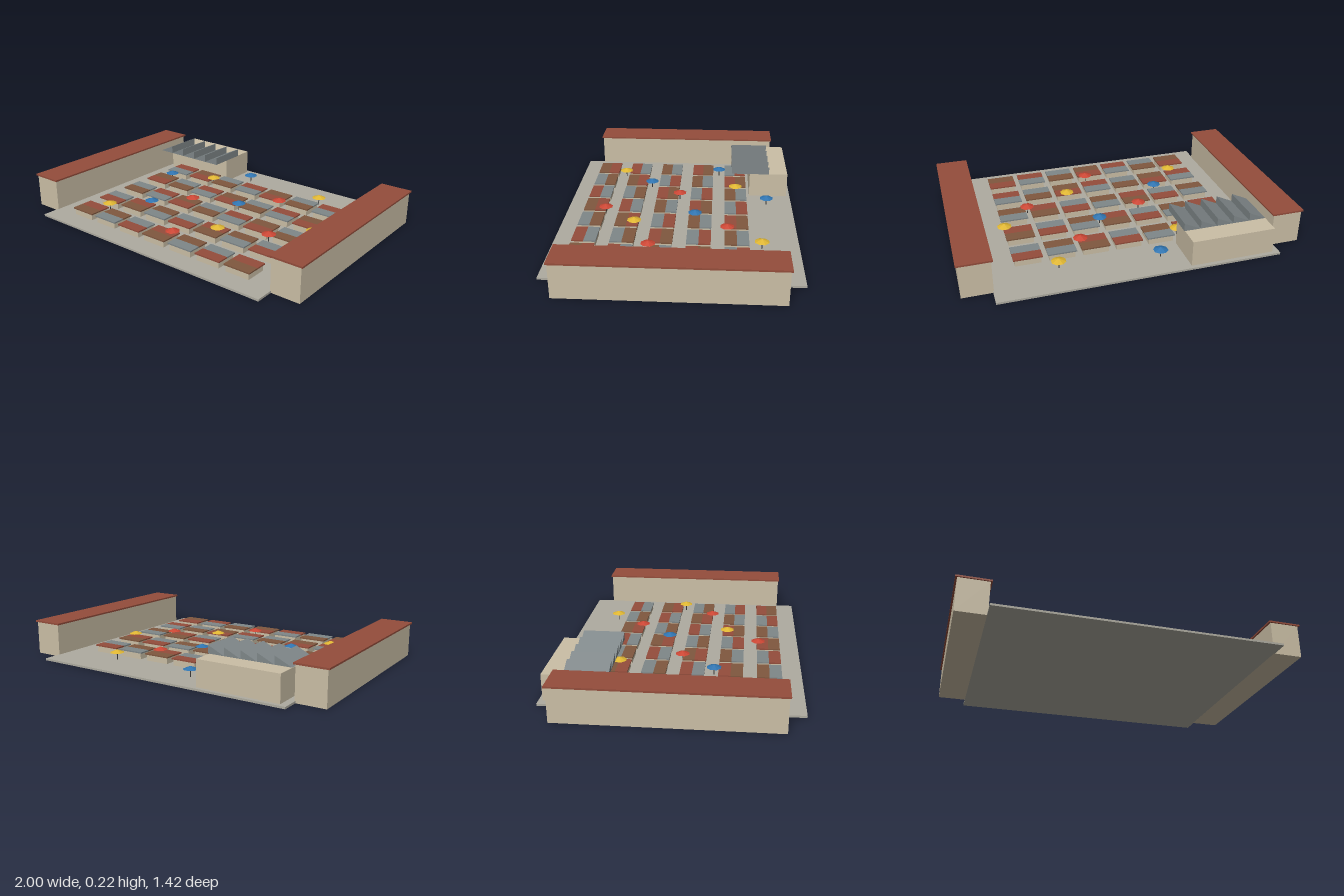
import * as THREE from 'three';

const mat = (color) => new THREE.MeshStandardMaterial({ color, flatShading: true });
const wall = mat(0xcbbfa6), roofRed = mat(0x944d3b), paving = mat(0xaeaba0);
const slate = mat(0x7f8789), brown = mat(0x80583f), dark = mat(0x3a3a3a);
const blue = mat(0x2f74b0), yellow = mat(0xdfb632), red = mat(0xcb4634);

// Box given its centre in x and z and its bottom and top heights
function block(name, material, x, z, w, d, y0, y1) {
  const m = new THREE.Mesh(new THREE.BoxGeometry(w, y1 - y0, d), material);
  m.position.set(x, (y0 + y1) / 2, z);
  m.name = name;
  return m;
}

// Long hall with a thin overhanging roof
function hall(side) {
  const g = new THREE.Group();
  g.name = side > 0 ? 'leftHall' : 'rightHall';
  g.add(block('hallWalls', wall, side * 0.9025, 0, 0.175, 1.21, 0, 0.2));
  g.add(block('hallRoof', roofRed, side * 0.9025, 0, 0.195, 1.225, 0.2, 0.21));
  return g;
}

// Workshop with a sawtooth roof reaching out over its front
function workshop() {
  const g = new THREE.Group();
  g.name = 'workshop';
  g.add(block('workshopWalls', wall, -0.53, -0.567, 0.5, 0.245, 0.012, 0.167));
  const tooth = new THREE.Shape([[0, 0], [0.101, 0], [0.101, 0.048]].map(([x, y]) => new THREE.Vector2(x, y)));
  const geo = new THREE.ExtrudeGeometry(tooth, { depth: 0.242, bevelEnabled: false });
  for (let i = 0; i < 5; i++) {
    const m = new THREE.Mesh(geo, slate);
    m.name = 'sawtoothRoof';
    m.position.set(-0.78 + i * 0.101, 0.168, -0.569);
    g.add(m);
  }
  return g;
}

// Pair of market stalls standing back to back
function stallPair(x, z, backRoof, frontRoof) {
  const g = new THREE.Group();
  g.name = 'stallPair';
  [[-1, backRoof], [1, frontRoof]].forEach(([s, material]) => {
    g.add(block('stallCounter', wall, x, z + s * 0.032, 0.15, 0.064, 0.012, 0.049));
    g.add(block('stallRoof', material, x, z + s * 0.035, 0.168, 0.07, 0.049, 0.057));
  });
  return g;
}

// Eight-sided parasol on a thin pole
function parasol(x, z, material) {
  const g = new THREE.Group();
  g.name = 'parasol';
  const pole = new THREE.Mesh(new THREE.CylinderGeometry(0.003, 0.003, 0.055, 6), dark);
  pole.name = 'parasolPole';
  pole.position.y = 0.0385;
  const canopy = new THREE.Mesh(new THREE.ConeGeometry(0.044, 0.018, 8), material);
  canopy.name = 'parasolCanopy';
  canopy.rotation.y = Math.PI / 8;
  canopy.position.y = 0.066;
  g.add(pole, canopy);
  g.position.set(x, 0, z);
  return g;
}

export function createModel() {
  const model = new THREE.Group();
  model.name = 'marketSquare';
  model.add(block('paving', paving, 0, 0, 1.64, 1.425, 0, 0.012));
  model.add(hall(1), hall(-1), workshop());

  // Five rows of seven stall pairs with cycling roof colours
  const roofs = [roofRed, brown, slate];
  const backShift = [0, 1, 2, 2, 0], frontShift = [2, 0, 1, 0, 1];
  for (let r = 0; r < 5; r++) {
    for (let c = 0; c < 7; c++) {
      model.add(stallPair((c - 3) * 0.198, -0.352 + r * 0.219,
        roofs[(c + backShift[r]) % 3], roofs[(c + frontShift[r]) % 3]));
    }
  }

  // Parasols scattered along the lanes
  const groups = [
    [blue, [[-0.145, -0.55], [-0.605, -0.243], [0.088, -0.1], [-0.375, 0.208]]],
    [yellow, [[0.437, -0.495], [0.667, -0.046], [0.207, 0.264], [-0.552, 0.405], [-0.32, -0.353]]],
    [red, [[0.262, -0.297], [-0.2, 0.01], [0.492, 0.152], [0.032, 0.462]]],
  ];
  groups.forEach(([material, spots]) => spots.forEach(([x, z]) => model.add(parasol(x, z, material))));
  return model;
}
